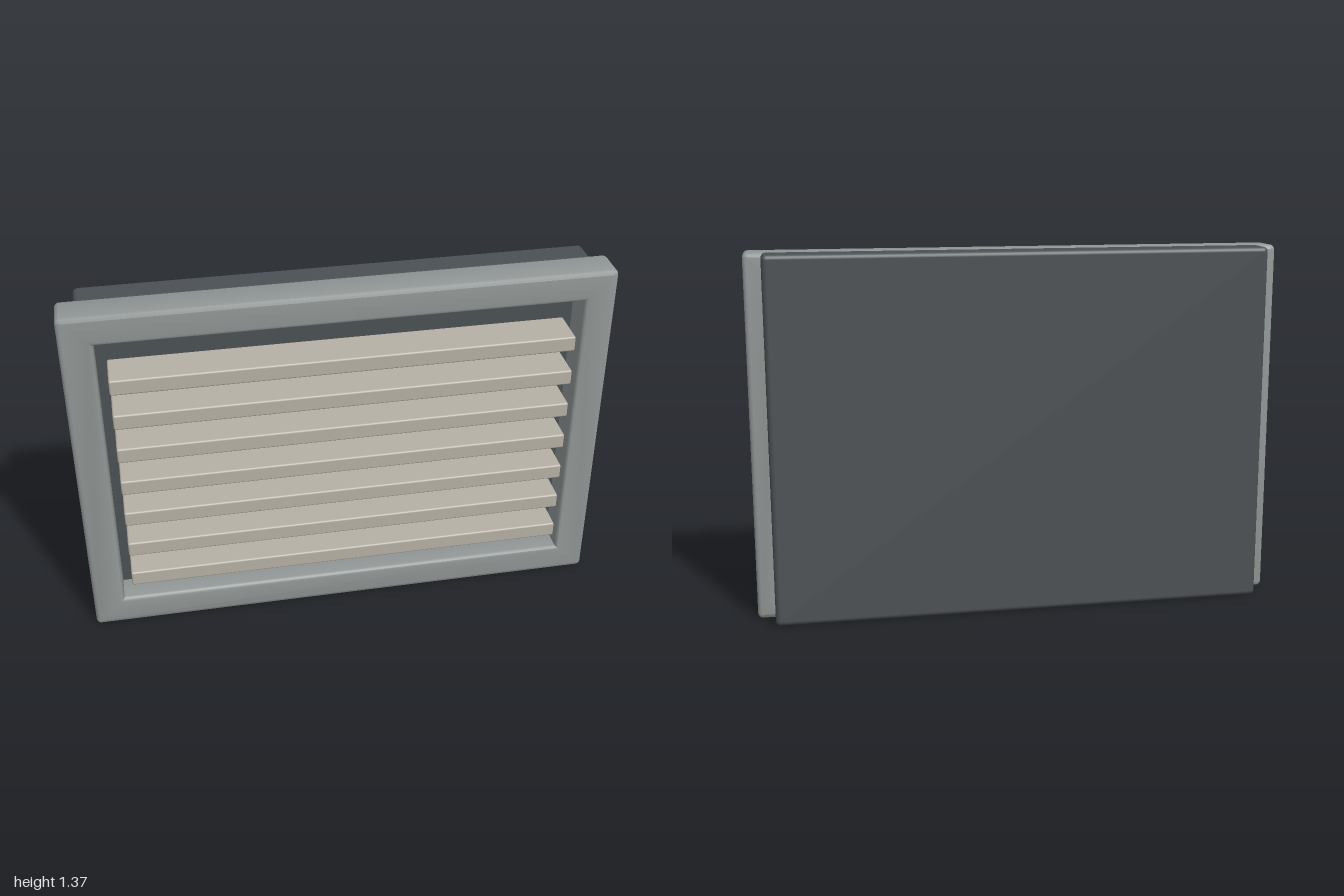
import * as THREE from 'three';
import { RoundedBoxGeometry } from 'three/addons/geometries/RoundedBoxGeometry.js';
import { toCreasedNormals } from 'three/addons/utils/BufferGeometryUtils.js';

// Rectangle outline with rounded corners, centred on the origin
function roundedRect(path, w, h, r) {
  const x = w / 2 - r, y = h / 2 - r;
  path.absarc(x, y, r, 0, Math.PI / 2);
  path.absarc(-x, y, r, Math.PI / 2, Math.PI);
  path.absarc(-x, -y, r, Math.PI, Math.PI * 1.5);
  path.absarc(x, -y, r, Math.PI * 1.5, Math.PI * 2);
  path.closePath();
  return path;
}

export function createModel() {
  const group = new THREE.Group();
  group.name = 'louvreVent';

  const mat = (name, color) => {
    const m = new THREE.MeshStandardMaterial({ color });
    m.name = name;
    return m;
  };
  const frameGrey = mat('frameGrey', 0x919796);
  const darkGrey = mat('darkGrey', 0x4b5054);
  const slatBeige = mat('slatBeige', 0xb6b0a5);

  const add = (name, geometry, material, x, y, z) => {
    const mesh = new THREE.Mesh(geometry, material);
    mesh.name = name;
    mesh.position.set(x, y, z);
    group.add(mesh);
    return mesh;
  };

  const height = 1.372, midY = height / 2 + 0.002;

  // Front frame with bevelled outer and inner edges, z -0.047 to 0.093
  const bevel = 0.016, depth = 0.14;
  const outline = roundedRect(new THREE.Shape(), 2 - 2 * bevel, height - 2 * bevel, 0.004);
  const hw = 0.881 + bevel, hh = 0.571 + bevel;
  outline.holes.push(new THREE.Path([
    new THREE.Vector2(-hw, -hh), new THREE.Vector2(-hw, hh),
    new THREE.Vector2(hw, hh), new THREE.Vector2(hw, -hh),
  ]));
  const frameGeo = new THREE.ExtrudeGeometry(outline, {
    depth: depth - 2 * bevel, bevelThickness: bevel, bevelSize: bevel,
    bevelSegments: 3, curveSegments: 3,
  });
  add('frame', toCreasedNormals(frameGeo, 0.7), frameGrey, 0, midY, -0.047 + bevel);

  // Closed housing behind the frame
  add('backHousing', new RoundedBoxGeometry(1.87, height, 0.12, 3, 0.018),
    darkGrey, 0, midY, -0.084);

  // Row of horizontal slats standing proud of the frame
  const slatGeo = new RoundedBoxGeometry(1.686, 0.06, 0.155, 2, 0.007);
  for (let i = 0; i < 7; i++) {
    add('slat' + (i + 1), slatGeo, slatBeige, 0, 0.255 + i * 0.1435, 0.066);
  }
  return group;
}
